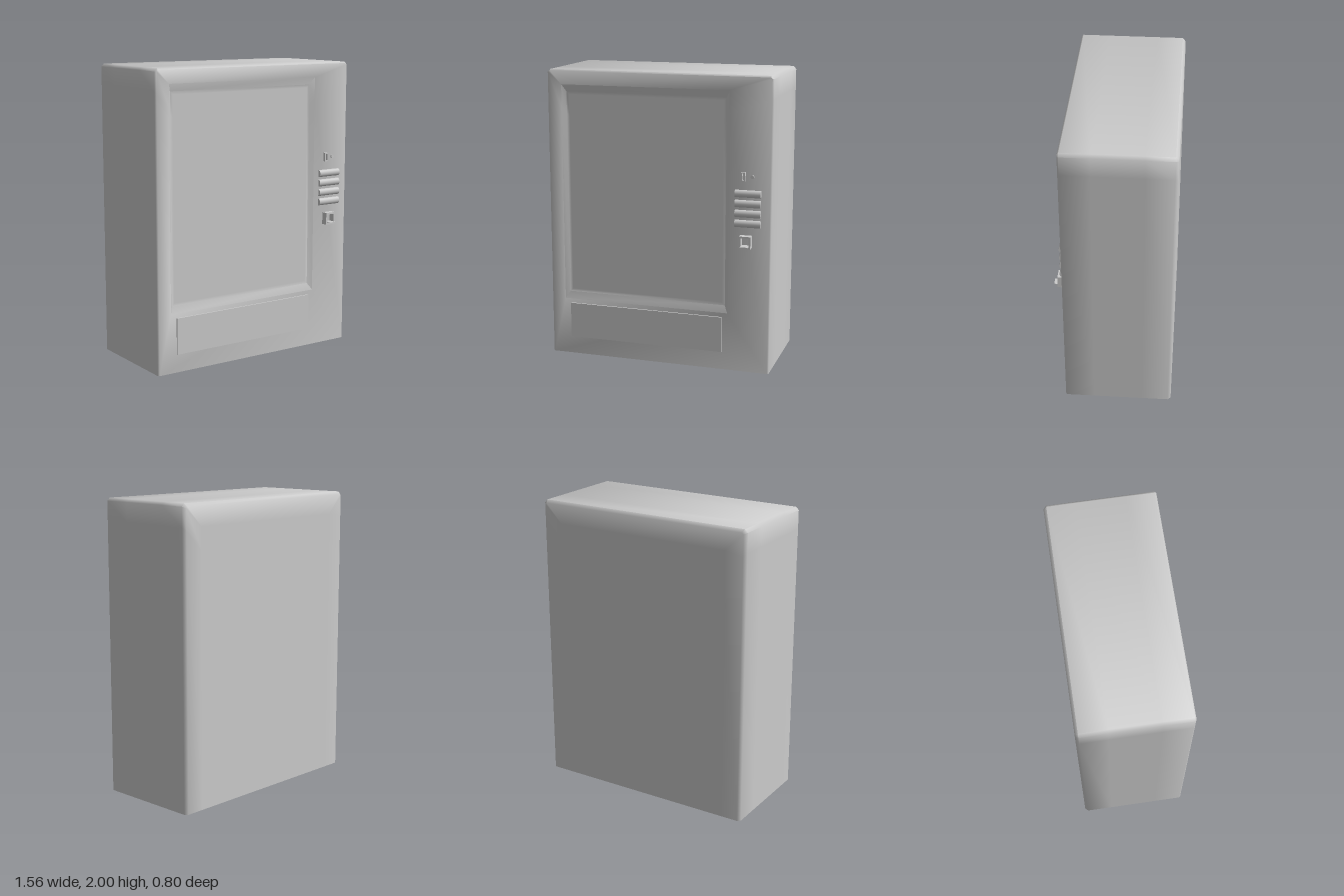
import * as THREE from 'three';
import { toCreasedNormals } from 'three/addons/utils/BufferGeometryUtils.js';

const material = new THREE.MeshStandardMaterial({ color: 0xcccccc });
const FRONT = 0.33;
const BACK = -0.4;

function add(parent, name, geometry, x = 0, y = 0, z = 0) {
  const mesh = new THREE.Mesh(geometry, material);
  mesh.name = name;
  mesh.position.set(x, y, z);
  parent.add(mesh);
  return mesh;
}

// Rectangular ring in the xy plane with chamfered top corners (c)
function ring(x0, x1, y0, y1, z, c = 0, s = 0.15) {
  return [
    [x0, y0], [x1, y0], [x1, y1 - s], [x1, y1 - c],
    [x1 - c, y1], [x0 + c, y1], [x0, y1 - c], [x0, y1 - s],
  ].map(([x, y]) => new THREE.Vector3(x, y, z));
}

// Skin a list of rings from back to front and close both ends
function loft(rings) {
  const positions = [];
  const tri = (a, b, c) => {
    if (new THREE.Triangle(a, b, c).getArea() < 1e-8) return;
    for (const p of [a, b, c]) positions.push(p.x, p.y, p.z);
  };
  const n = rings[0].length;
  for (let k = 0; k < rings.length - 1; k++) {
    const a = rings[k], b = rings[k + 1];
    for (let i = 0; i < n; i++) {
      const j = (i + 1) % n;
      tri(a[i], a[j], b[j]);
      tri(a[i], b[j], b[i]);
    }
  }
  const first = rings[0], last = rings[rings.length - 1];
  for (let i = 1; i < n - 1; i++) {
    tri(first[0], first[i + 1], first[i]);
    tri(last[0], last[i], last[i + 1]);
  }
  const geometry = new THREE.BufferGeometry();
  geometry.setAttribute('position', new THREE.Float32BufferAttribute(positions, 3));
  return toCreasedNormals(geometry, 0.9);
}

// Rectangular frame with a rectangular opening, extruded forward
function frame(w, h, border, depth) {
  const rect = (Type, a, b) => new Type([
    new THREE.Vector2(-a, -b), new THREE.Vector2(a, -b),
    new THREE.Vector2(a, b), new THREE.Vector2(-a, b),
  ]);
  const shape = rect(THREE.Shape, w / 2, h / 2);
  shape.holes.push(rect(THREE.Path, w / 2 - border, h / 2 - border));
  return new THREE.ExtrudeGeometry(shape, { depth, bevelEnabled: false });
}

export function createModel() {
  const model = new THREE.Group();
  model.name = 'vendingMachine';

  // Cabinet with softened edges and a recessed display window
  const w = 0.78, b = 0.02;
  add(model, 'cabinet', loft([
    ring(-w + 0.15, w - 0.15, 0, 1.85, BACK),
    ring(-w + b, w - b, 0, 2 - b, BACK, 0.01),
    ring(-w, w, 0, 2, BACK + b, b),
    ring(-w, w, 0, 2, BACK + 0.2, b),
    ring(-w, w, 0, 2, FRONT - 0.2, b),
    ring(-w, w, 0, 2, FRONT - b / 2, b),
    ring(-w + b / 2, w - b / 2, 0, 2 - b / 2, FRONT, 0.01),
    ring(-0.68, 0.49, 0.4, 1.9, FRONT),
    ring(-0.655, 0.465, 0.445, 1.85, FRONT - 0.03),
    ring(-0.635, 0.445, 0.465, 1.83, FRONT - 0.03),
  ]));

  // Delivery flap with its lower lip
  const flap = new THREE.Group();
  flap.name = 'deliveryFlap';
  model.add(flap);
  add(flap, 'flapPanel', new THREE.BoxGeometry(1.09, 0.235, 0.02), -0.093, 0.253, FRONT);
  add(flap, 'flapLip', new THREE.BoxGeometry(1.09, 0.012, 0.012), -0.093, 0.129, FRONT);

  // Rounded selection buttons
  for (let i = 0; i < 4; i++) {
    const button = new THREE.CylinderGeometry(0.025, 0.025, 0.175, 16);
    button.rotateZ(Math.PI / 2).scale(1, 1, 0.8);
    add(model, 'selectionButton', button, 0.622, 1.228 - i * 0.067, FRONT);
  }

  // Coin slot and its release button
  add(model, 'coinSlot', frame(0.028, 0.06, 0.008, 0.018), 0.59, 1.343, FRONT);
  const release = new THREE.CylinderGeometry(0.012, 0.012, 0.02, 16).rotateX(Math.PI / 2);
  add(model, 'releaseButton', release, 0.65, 1.343, FRONT);

  // Coin return: open box with a thin tongue at the bottom of the opening
  const coinReturn = new THREE.Group();
  coinReturn.name = 'coinReturn';
  coinReturn.position.set(0.613, 0.908, FRONT);
  model.add(coinReturn);
  add(coinReturn, 'returnHousing', frame(0.078, 0.084, 0.012, 0.044));
  add(coinReturn, 'returnTongue', new THREE.BoxGeometry(0.054, 0.004, 0.066), 0, -0.026, 0.035);

  return model;
}
